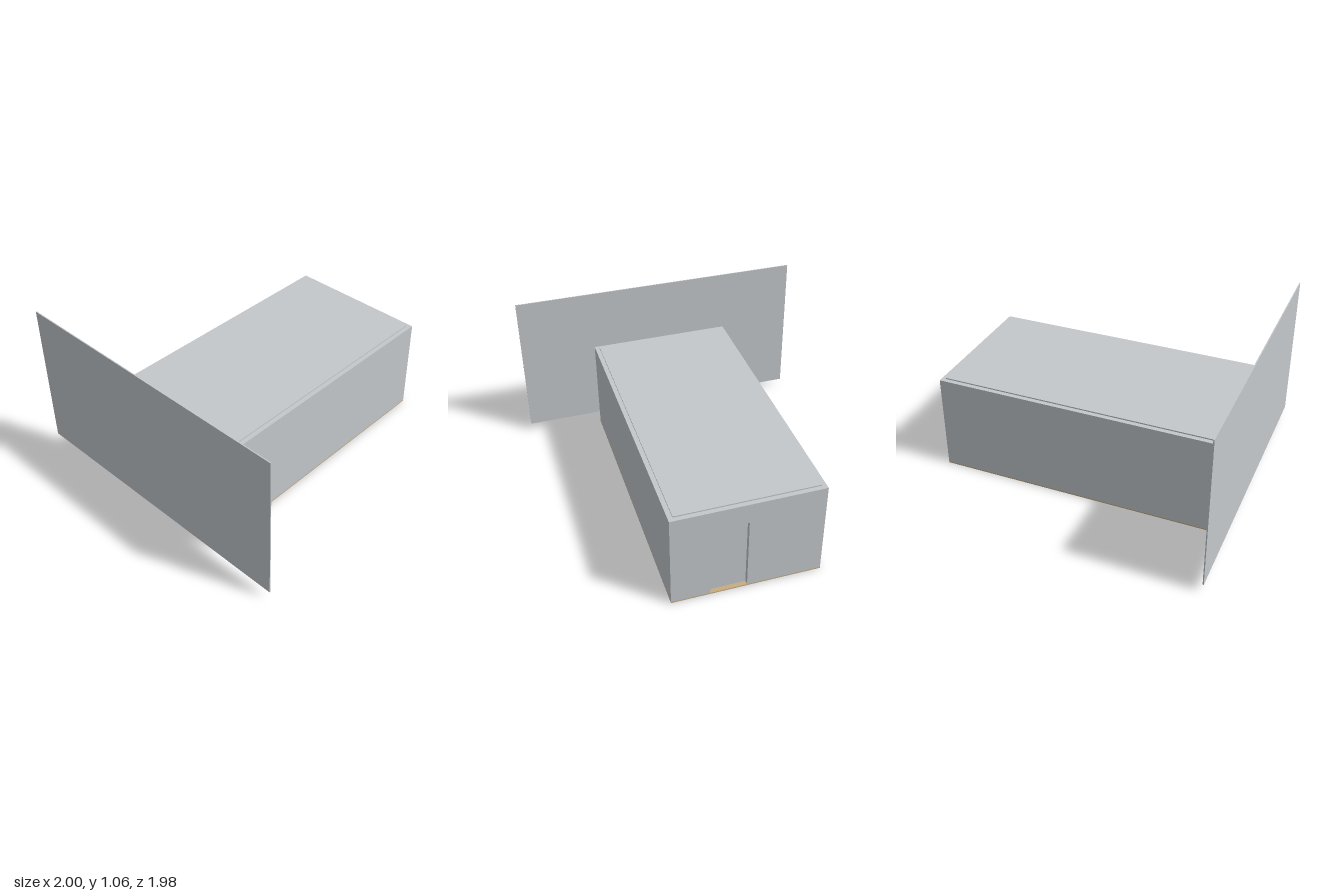
import * as THREE from 'three';

const W = 0.485, BACK = -0.992, FRONT = 0.935; // room footprint
const FLOOR = 0.008, TOP = 0.66, WALL = 0.03;
const DOOR = { x0: 0, x1: 0.235, top: 0.52 };

export function createModel() {
  const group = new THREE.Group();
  const grey = new THREE.MeshStandardMaterial({ color: 0xc3c8cb });
  grey.name = 'concreteGrey';
  const tan = new THREE.MeshStandardMaterial({ color: 0xc8ac82 });
  tan.name = 'floorTan';

  const add = (name, geometry, material) => {
    const mesh = new THREE.Mesh(geometry, material);
    mesh.name = name;
    group.add(mesh);
    return mesh;
  };
  // Box given by its lower and upper limits
  const block = (name, [x0, y0, z0], [x1, y1, z1], material = grey) => {
    const g = new THREE.BoxGeometry(x1 - x0, y1 - y0, z1 - z0);
    g.translate((x0 + x1) / 2, (y0 + y1) / 2, (z0 + z1) / 2);
    return add(name, g, material);
  };

  // Floor slab
  block('floor', [-W, 0, BACK], [W, FLOOR, FRONT], tan);

  // Side and front walls
  block('leftWall', [W - WALL, FLOOR, BACK + WALL], [W, TOP, FRONT], grey);
  block('rightWall', [-W, FLOOR, BACK + WALL], [-W + WALL, TOP, FRONT], grey);
  block('frontWall', [-W + WALL, FLOOR, FRONT - WALL], [W - WALL, TOP, FRONT], grey);

  // Back wall with a doorway notched out of its lower edge
  const outline = new THREE.Shape([
    [-W, FLOOR], [DOOR.x0, FLOOR], [DOOR.x0, DOOR.top], [DOOR.x1, DOOR.top],
    [DOOR.x1, FLOOR], [W, FLOOR], [W, TOP], [-W, TOP],
  ].map(([x, y]) => new THREE.Vector2(x, y)));
  const backGeometry = new THREE.ExtrudeGeometry(outline, { depth: WALL, bevelEnabled: false });
  backGeometry.translate(0, 0, BACK);
  add('backWall', backGeometry, grey);

  // Inner volume: its top is the raised roof, its back closes the doorway
  block('roofAndInnerRoom', [-W + WALL, FLOOR, BACK + WALL],
    [W - WALL, TOP + 0.008, FRONT - WALL], grey);

  // Wide thin panel standing off the front wall
  block('frontPanel', [-1, 0.053, 0.985], [1, 1.06, 0.992], grey);

  return group;
}
